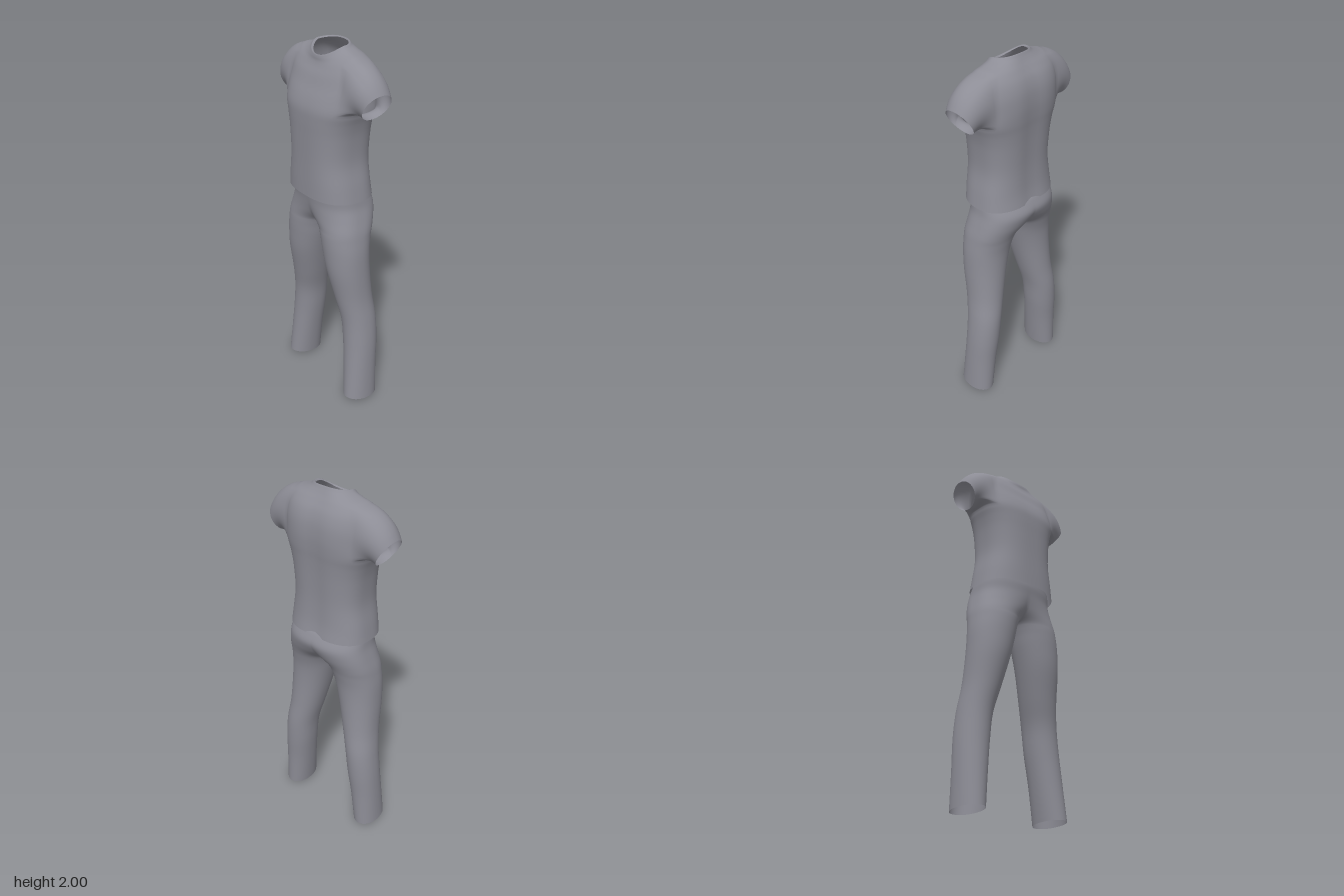
import * as THREE from 'three';
import { mergeVertices } from 'three/addons/utils/BufferGeometryUtils.js';

const V = (x, y, z) => new THREE.Vector3(x, y, z);

// Catmull-Rom subdivision of section rows, k steps per interval
function smoothRows(rows, k) {
  const out = [];
  const at = (i) => rows[Math.min(Math.max(i, 0), rows.length - 1)];
  for (let i = 0; i < rows.length - 1; i++) {
    const p = at(i - 1), q = at(i), r = at(i + 1), w = at(i + 2);
    for (let s = 0; s < k; s++) {
      const t = s / k;
      out.push(q.map((b, c) => {
        const quad = 2 * p[c] - 5 * b + 4 * r[c] - w[c];
        const cubic = 3 * (b - r[c]) + w[c] - p[c];
        return b + 0.5 * t * (r[c] - p[c] + t * (quad + t * cubic));
      }));
    }
  }
  out.push(rows[rows.length - 1]);
  return out;
}

// Quads between neighbouring rows of points, except the cells that skip() names
function skin(grid, tris, skip = () => false) {
  for (let i = 0; i < grid.length - 1; i++) {
    for (let j = 0; j < grid[i].length - 1; j++) {
      if (skip(i, j)) continue;
      const a = grid[i][j], b = grid[i + 1][j], c = grid[i + 1][j + 1], d = grid[i][j + 1];
      tris.push([a, b, d], [b, c, d]);
    }
  }
}

// One smooth garment from its left half and the mirror image
function garment(name, tris) {
  const pos = [];
  for (const t of tris) {
    for (const p of t) pos.push(p.x, p.y, p.z);
    for (const p of [t[0], t[2], t[1]]) pos.push(-p.x, p.y, p.z);
  }
  let geo = new THREE.BufferGeometry();
  geo.setAttribute('position', new THREE.Float32BufferAttribute(pos, 3));
  geo = mergeVertices(geo, 1e-5);
  geo.computeVertexNormals();
  const mesh = new THREE.Mesh(geo, new THREE.MeshStandardMaterial({ color: 0x8d8d96, side: THREE.DoubleSide }));
  mesh.name = name;
  return mesh;
}

function makeShirt() {
  // y at front, side and back; half width; z at front and back; roundness
  const rows = smoothRows([
    [1.222, 1.215, 1.22, 0.24, 0.18, -0.168, 0.78],
    [1.30, 1.30, 1.30, 0.228, 0.18, -0.156, 0.76],
    [1.42, 1.42, 1.42, 0.21, 0.179, -0.151, 0.75],
    [1.55, 1.55, 1.55, 0.217, 0.18, -0.155, 0.75],
    [1.63, 1.63, 1.64, 0.232, 0.181, -0.161, 0.75],
    [1.69, 1.69, 1.70, 0.25, 0.178, -0.167, 0.75], // armpit
    [1.745, 1.76, 1.77, 0.25, 0.162, -0.17, 0.75],
    [1.80, 1.83, 1.84, 0.25, 0.138, -0.164, 0.75],
    [1.85, 1.90, 1.895, 0.24, 0.118, -0.147, 0.77],
    [1.885, 1.945, 1.935, 0.215, 0.10, -0.122, 0.82], // shoulder
    [1.908, 1.962, 1.963, 0.165, 0.091, -0.102, 0.9],
    [1.925, 1.975, 1.985, 0.127, 0.089, -0.088, 0.96],
    [1.938, 1.988, 2.0, 0.108, 0.085, -0.079, 0.98], // collar edge
    [1.932, 1.982, 1.994, 0.098, 0.077, -0.073, 0.98],
  ], 4);
  const cols = 32, c0 = 9, c1 = 23, r0 = 20, r1 = 36;
  const grid = rows.map(([yF, yS, yB, hw, zF, zB, round]) => {
    const ring = [];
    for (let j = 0; j <= cols; j++) {
      const a = -Math.PI / 2 + (Math.PI * j) / cols, s = Math.sin(a);
      const x = j % cols ? hw * Math.cos(a) ** round : 0;
      const f = Math.abs(s) ** round;
      // shallow hollow along the spine
      const hollow = 1 - 0.06 * Math.exp(-((x / 0.06) ** 2));
      const z = s > 0 ? zF * f : zB * f * hollow;
      ring.push(V(x, yS + ((s > 0 ? yF : yB) - yS) * Math.abs(s) ** 1.5, z));
    }
    return ring;
  });
  const tris = [];
  skin(grid, tris, (i, j) => i >= r0 && i < r1 && j >= c0 && j < c1);

  // sleeve: from the rim of the armhole, over the shoulder, to an open cuff
  const rim = [];
  for (let i = r0; i < r1; i++) rim.push(grid[i][c1]);
  for (let j = c1; j > c0; j--) rim.push(grid[r1][j]);
  for (let i = r1; i > r0; i--) rim.push(grid[i][c0]);
  for (let j = c0; j <= c1; j++) rim.push(grid[r0][j]);
  const sleeve = [], steps = 10;
  for (let i = 0; i <= steps; i++) {
    const t = i / steps;
    sleeve.push(rim.map((p) => {
      const a = Math.atan2(p.y - 1.815, p.z + 0.01), s = Math.sin(a), c = Math.cos(a);
      const bend = V(0.30 + 0.03 * s, 1.81 + 0.11 * s, -0.003 + 0.107 * c);
      const cuff = V(0.344 + 0.039 * s, 1.744 + 0.069 * s, -0.01 + 0.083 * c);
      return p.clone().multiplyScalar((1 - t) ** 2)
        .addScaledVector(bend, 2 * t * (1 - t))
        .addScaledVector(cuff, t * t);
    }));
  }
  skin(sleeve, tris);
  return garment('shirt', tris);
}

function makeTrousers() {
  // y, inner x, outer x, front z, back z, hem tilt, roundness; above the
  // crotch the inner x is negative and the ring opens at the centre plane
  const rows = smoothRows([
    [0.008, 0.20, 0.345, 0.10, -0.102, 0.008, 0.92],
    [0.20, 0.177, 0.337, 0.085, -0.107, 0, 0.92],
    [0.36, 0.156, 0.328, 0.076, -0.118, 0, 0.92],
    [0.50, 0.139, 0.313, 0.079, -0.12, 0, 0.92],
    [0.64, 0.104, 0.295, 0.103, -0.108, 0, 0.92],
    [0.80, 0.064, 0.289, 0.134, -0.101, 0, 0.92],
    [0.92, 0.034, 0.284, 0.144, -0.104, 0, 0.9],
    [1.00, 0.014, 0.275, 0.146, -0.118, 0, 0.86],
    [1.05, -0.012, 0.267, 0.144, -0.134, 0, 0.78],
    [1.11, -0.10, 0.252, 0.145, -0.162, 0, 0.74],
    [1.17, -0.185, 0.237, 0.151, -0.181, 0, 0.76],
    [1.22, -0.225, 0.231, 0.158, -0.166, 0, 0.78],
    [1.25, -0.225, 0.225, 0.158, -0.148, 0, 0.78], // waist, under the shirt
  ], 5);
  const half = 28;
  const grid = rows.map(([y, xi, xo, zF, zB, tilt, round]) => {
    const cx = (xi + xo) / 2, rx = (xo - xi) / 2;
    const end = xi < 0 ? Math.acos(-cx / rx) : Math.PI;
    const ring = [];
    for (let j = -half; j <= half; j++) {
      const a = (end * j) / half, s = Math.sin(a);
      const x = Math.max(0, cx + rx * Math.cos(a));
      const f = Math.sign(s) * Math.abs(s) ** round;
      ring.push(V(x, y + tilt * s, (zF + zB) / 2 + ((zF - zB) / 2) * f));
    }
    return ring;
  });
  const tris = [];
  skin(grid, tris);
  return garment('trousers', tris);
}

export function createModel() {
  const model = new THREE.Group();
  model.name = 'outfit';
  model.add(makeShirt(), makeTrousers());
  return model;
}
